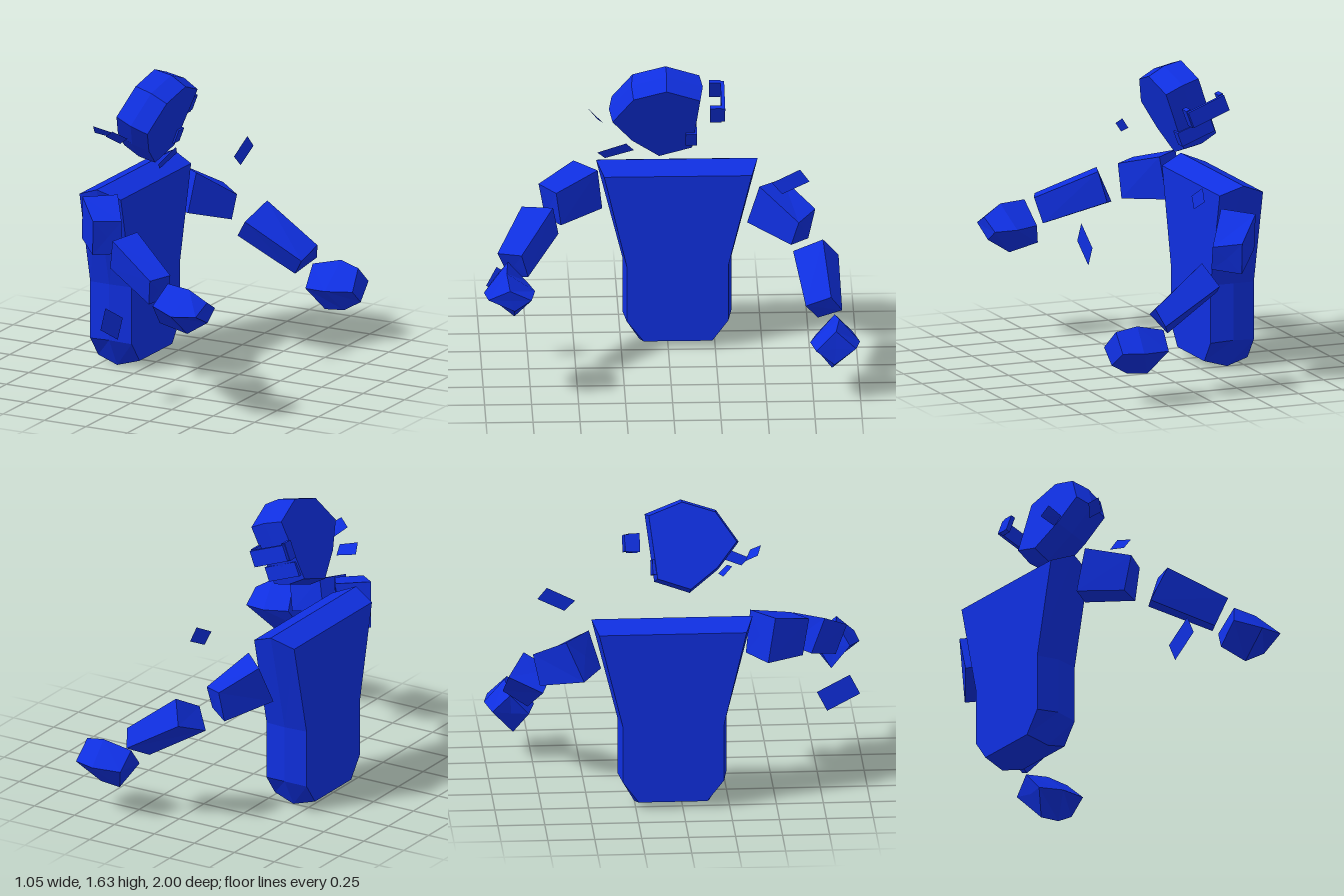
import * as THREE from 'three';

const material = new THREE.MeshStandardMaterial({ color: 0x0f2fe0, flatShading: true });
const thinMaterial = new THREE.MeshStandardMaterial({ color: 0x0f2fe0, flatShading: true, side: THREE.DoubleSide });

// Skin matching rings of [x, y, z] points and close both ends with a fan.
function loft(name, rings) {
  const R = rings.map(r => r.map(p => new THREE.Vector3(...p)));
  const n = R[0].length, tris = [];
  for (let k = 0; k < R.length - 1; k++) {
    for (let i = 0; i < n; i++) {
      const j = (i + 1) % n, a = R[k][i], b = R[k][j], c = R[k + 1][j], d = R[k + 1][i];
      tris.push([a, b, c], [a, c, d]);
    }
  }
  const cap = (ring, flip) => {
    const mid = ring.reduce((s, p) => s.add(p), new THREE.Vector3()).divideScalar(n);
    ring.forEach((p, i) => {
      const q = ring[(i + 1) % n];
      tris.push(flip ? [mid, q, p] : [mid, p, q]);
    });
  };
  cap(R[0], true);
  cap(R[R.length - 1], false);
  // Turn every face outward if the enclosed volume comes out negative.
  const volume = tris.reduce((s, [a, b, c]) => s + a.dot(b.clone().cross(c)), 0);
  if (volume < 0) tris.forEach(t => t.reverse());
  const geometry = new THREE.BufferGeometry().setFromPoints(tris.flat());
  geometry.computeVertexNormals();
  const mesh = new THREE.Mesh(geometry, material);
  mesh.name = name;
  return mesh;
}

// Thin four-cornered flake.
function flake(name, [a, b, c, d]) {
  const geometry = new THREE.BufferGeometry().setFromPoints(
    [a, b, c, a, c, d].map(p => new THREE.Vector3(...p)));
  geometry.computeVertexNormals();
  const mesh = new THREE.Mesh(geometry, thinMaterial);
  mesh.name = name;
  return mesh;
}

function box(name, size, position) {
  const mesh = new THREE.Mesh(new THREE.BoxGeometry(...size), material);
  mesh.name = name;
  mesh.position.set(...position);
  return mesh;
}

export function createModel() {
  const model = new THREE.Group();
  model.name = 'blockFigure';

  // Torso: shield outline, widest on its middle ridge; points are [z, y].
  const ridge = [[0.38, 1.03], [-0.48, 1.03], [-0.34, 0.47], [-0.34, 0.16],
    [-0.25, 0], [0.15, 0], [0.24, 0.16], [0.24, 0.47]];
  const face = [[0.34, 0.98], [-0.445, 0.98], [-0.32, 0.465], [-0.32, 0.15],
    [-0.235, 0.035], [0.13, 0.035], [0.22, 0.15], [0.22, 0.465]];
  const slab = (outline, x) => outline.map(([z, y]) => [x, y, z]);
  model.add(loft('torso', [slab(face, -0.53), slab(ridge, -0.405), slab(face, -0.28)]));

  // Head: seven-sided slab leaning forward; points are [z, height].
  const headOutline = [[0.015, 0.231], [-0.165, 0.162], [-0.125, -0.175],
    [0.05, -0.234], [0.195, -0.12], [0.3, 0.015], [0.19, 0.175]];
  const headRing = (t, s) => headOutline.map(([z, v]) => [
    -0.24 + 0.935 * t + 0.355 * v * s,
    1.374 - 0.355 * t + 0.935 * v * s,
    0.065 + (z - 0.065) * s]);
  model.add(loft('head', [headRing(-0.1, 1), headRing(0, 1.07), headRing(0.1, 1)]));

  // Bracket and lower block on the side of the head.
  const bracket = new THREE.Group();
  bracket.name = 'sideBracket';
  bracket.position.set(-0.28, 1.41, -0.26);
  bracket.rotation.z = -0.363;
  bracket.add(
    box('bracketBridge', [0.22, 0.09, 0.02], [0, 0, -0.03]),
    box('bracketRearLeg', [0.025, 0.1, 0.06], [-0.1, 0, 0.01]),
    box('bracketFrontLeg', [0.025, 0.1, 0.06], [0.1, 0, 0.01]),
    box('lowerBlock', [0.2, 0.08, 0.06], [0.06, -0.13, 0.14]));
  model.add(bracket);

  // Arms: each segment joins an inner and an outer four-cornered end.
  const segments = {
    frontUpperArm: [
      [[-0.425, 1.02, 0.5], [-0.28, 1.02, 0.375], [-0.31, 0.79, 0.35], [-0.45, 0.777, 0.46]],
      [[-0.26, 0.955, 0.69], [-0.135, 0.95, 0.6], [-0.145, 0.763, 0.574], [-0.28, 0.757, 0.655]]],
    frontForearm: [
      [[-0.09, 0.895, 0.785], [-0.03, 0.91, 0.62], [-0.07, 0.745, 0.59], [-0.145, 0.718, 0.71]],
      [[0.21, 0.75, 0.923], [0.265, 0.757, 0.796], [0.23, 0.622, 0.76], [0.17, 0.6, 0.86]]],
    rearUpperArm: [
      [[-0.415, 0.905, -0.615], [-0.27, 0.92, -0.485], [-0.285, 0.71, -0.42], [-0.447, 0.69, -0.52]],
      [[-0.267, 0.79, -0.782], [-0.135, 0.765, -0.69], [-0.145, 0.635, -0.65], [-0.28, 0.617, -0.745]]],
    rearForearm: [
      [[-0.087, 0.6, -0.9], [-0.02, 0.715, -0.815], [-0.07, 0.63, -0.658], [-0.148, 0.527, -0.72]],
      [[0.23, 0.41, -0.91], [0.264, 0.498, -0.85], [0.24, 0.44, -0.716], [0.165, 0.343, -0.783]]],
    // Hands: swollen in the middle.
    frontHand: [
      [[0.29, 0.735, 0.87], [0.235, 0.62, 0.94], [0.225, 0.5, 0.84], [0.26, 0.61, 0.77]],
      [[0.425, 0.722, 0.88], [0.38, 0.595, 1], [0.39, 0.462, 0.838], [0.39, 0.605, 0.728]],
      [[0.525, 0.66, 0.865], [0.517, 0.607, 0.98], [0.513, 0.54, 0.84], [0.51, 0.6, 0.75]]],
    rearHand: [
      [[0.225, 0.385, -0.87], [0.235, 0.275, -0.77], [0.31, 0.15, -0.85], [0.235, 0.29, -0.965]],
      [[0.385, 0.423, -0.89], [0.37, 0.285, -0.735], [0.425, 0.16, -0.85], [0.39, 0.295, -1]],
      [[0.5, 0.398, -0.87], [0.523, 0.295, -0.763], [0.52, 0.215, -0.86], [0.505, 0.3, -0.976]]],
  };
  for (const [name, rings] of Object.entries(segments)) model.add(loft(name, rings));

  // Loose flakes floating around the body.
  const flakes = {
    lowFlake: [[-0.06, 0.562, 0.92], [-0.06, 0.455, 0.975], [-0.05, 0.358, 0.8], [-0.05, 0.465, 0.745]],
    shoulderFlake: [[-0.075, 1.02, -0.545], [-0.075, 1.095, -0.695], [-0.065, 1.03, -0.745], [-0.065, 0.96, -0.6]],
    chinFlake: [[-0.03, 1.225, 0.385], [-0.045, 1.187, 0.343], [-0.022, 1.24, 0.19], [-0.005, 1.285, 0.232]],
    backFlake: [[-0.505, 1.29, 0.217], [-0.488, 1.34, 0.265], [-0.388, 1.315, 0.244], [-0.397, 1.27, 0.196]],
    cheekFlake: [[-0.282, 1.383, 0.432], [-0.22, 1.338, 0.378], [-0.28, 1.294, 0.348], [-0.333, 1.343, 0.412]],
  };
  for (const [name, corners] of Object.entries(flakes)) model.add(flake(name, corners));

  return model;
}
